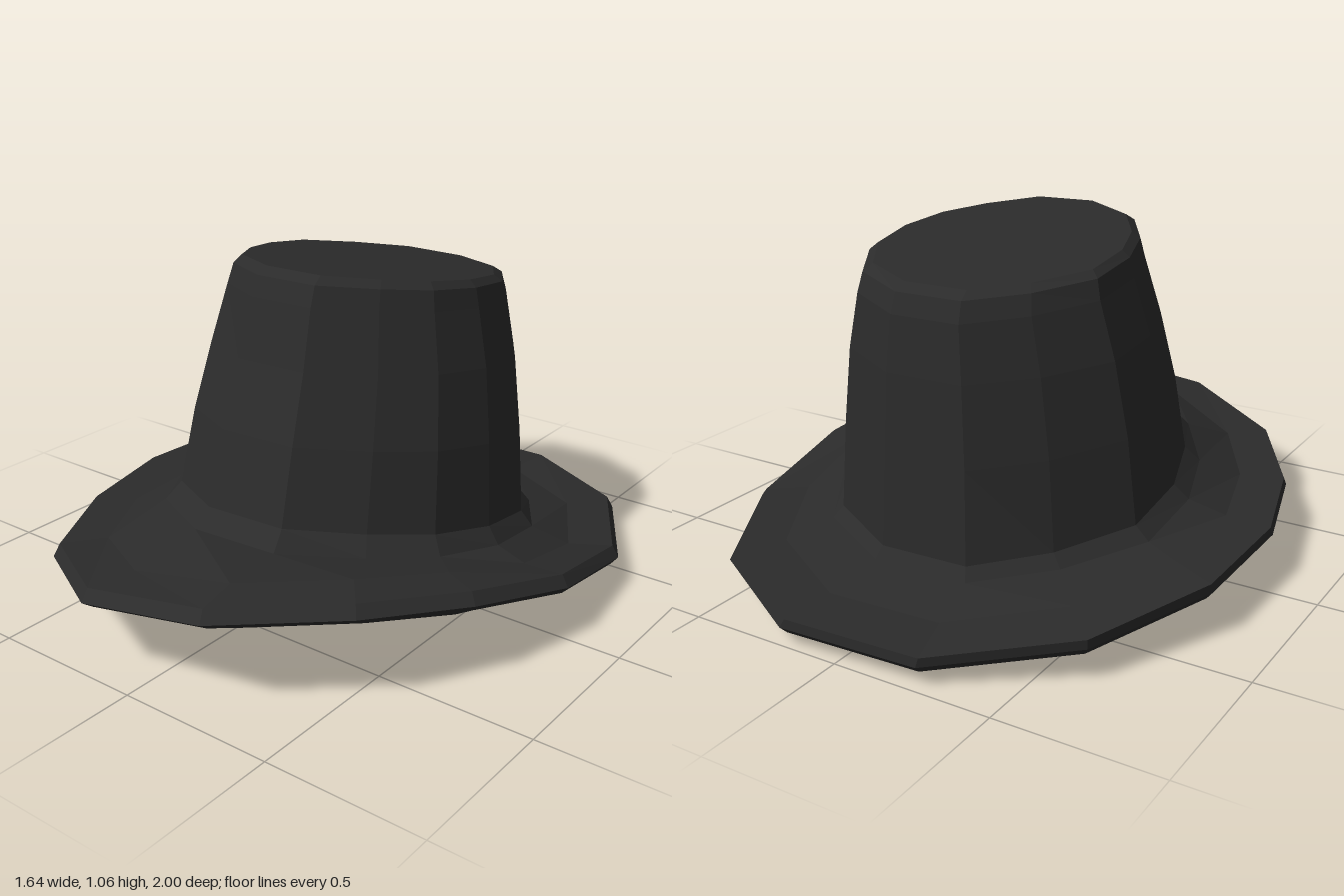
import * as THREE from 'three';

// Outline of the brim, clockwise from the back as seen from above: x, z
const outline = [
  [-0.26, -0.985], [0.19, -1], [0.58, -0.78], [0.79, -0.4], [0.82, 0], [0.73, 0.37], [0.56, 0.69],
  [0.25, 0.96], [-0.16, 1], [-0.52, 0.79], [-0.72, 0.45], [-0.82, 0.08], [-0.81, -0.34], [-0.63, -0.73],
];
// The crown follows the brim, with two corners drawn in
const crownOutline = [...outline];
crownOutline[6] = [0.535, 0.67];
crownOutline[13] = [-0.57, -0.71];

// Wavy heights of the brim's upper edge and of its sagging underside
const edgeY = [0.09, 0.085, 0.1, 0.125, 0.2, 0.275, 0.32, 0.32, 0.265, 0.21, 0.19, 0.18, 0.17, 0.13];
const underY = [0.005, 0, 0, 0.02, 0.075, 0.125, 0.165, 0.16, 0.13, 0.115, 0.1, 0.08, 0.055, 0.025];

// Ring that follows the brim, scaled and shifted, with a height for each corner
const brimRing = (sx, sz, dx, dz, heights, dy) =>
  outline.map(([x, z], i) => [x * sx + dx, heights[i] + dy, z * sz + dz]);

// Ring lying in a plane that rises towards the front
const tiltedRing = (cz, rx, rz, y, slope) =>
  crownOutline.map(([x, z]) => [(x / 0.82) * rx, y + slope * z * rz, cz + z * rz]);

// Skin a list of rings from bottom to top
function loft(rings) {
  const n = outline.length;
  const index = [];
  for (let r = 0; r < rings.length - 1; r++) {
    for (let i = 0; i < n; i++) {
      const j = (i + 1) % n;
      const a = r * n + i, b = r * n + j, c = a + n, d = b + n;
      index.push(a, c, d, a, d, b);
    }
  }
  const geometry = new THREE.BufferGeometry();
  geometry.setAttribute('position', new THREE.Float32BufferAttribute(rings.flat(2), 3));
  geometry.setIndex(index);
  geometry.computeVertexNormals();
  return geometry;
}

export function createModel() {
  const felt = new THREE.MeshStandardMaterial({ color: 0x2b2b2b, flatShading: true });
  felt.name = 'black felt';
  const hat = new THREE.Group();
  hat.name = 'hat';
  const add = (name, rings) => {
    const mesh = new THREE.Mesh(loft(rings), felt);
    mesh.name = name;
    hat.add(mesh);
  };

  const opening = tiltedRing(-0.02, 0.57, 0.63, 0.11, 0.125);
  const crownBase = tiltedRing(-0.025, 0.565, 0.615, 0.222, 0.155);

  // Hollow under the crown
  add('hollow', [tiltedRing(-0.05, 0, 0, 0.43, 0), opening]);

  // Brim: underside, rolled edge, upper face
  add('brim', [
    opening,
    brimRing(0.82, 0.79, 0, -0.03, underY, 0),
    brimRing(0.975, 0.97, 0, -0.005, edgeY, -0.055),
    brimRing(1, 1, 0, 0, edgeY, -0.03),
    brimRing(0.982, 0.982, -0.013, -0.016, edgeY, 0),
    brimRing(0.82, 0.82, 0, 0, edgeY, 0.005),
    crownBase,
  ]);

  // Crown: flared foot, leaning wall, bevelled rim and flat slanted top
  add('crown', [
    crownBase,
    tiltedRing(-0.04, 0.522, 0.575, 0.268, 0.18),
    tiltedRing(-0.065, 0.495, 0.535, 0.525, 0.14),
    tiltedRing(-0.095, 0.456, 0.495, 0.75, 0.11),
    tiltedRing(-0.116, 0.41, 0.461, 0.923, 0.125),
    tiltedRing(-0.118, 0.397, 0.438, 0.983, 0.13),
    tiltedRing(-0.118, 0.374, 0.4, 1.004, 0.14),
    tiltedRing(-0.118, 0, 0, 1.004, 0),
  ]);

  return hat;
}
